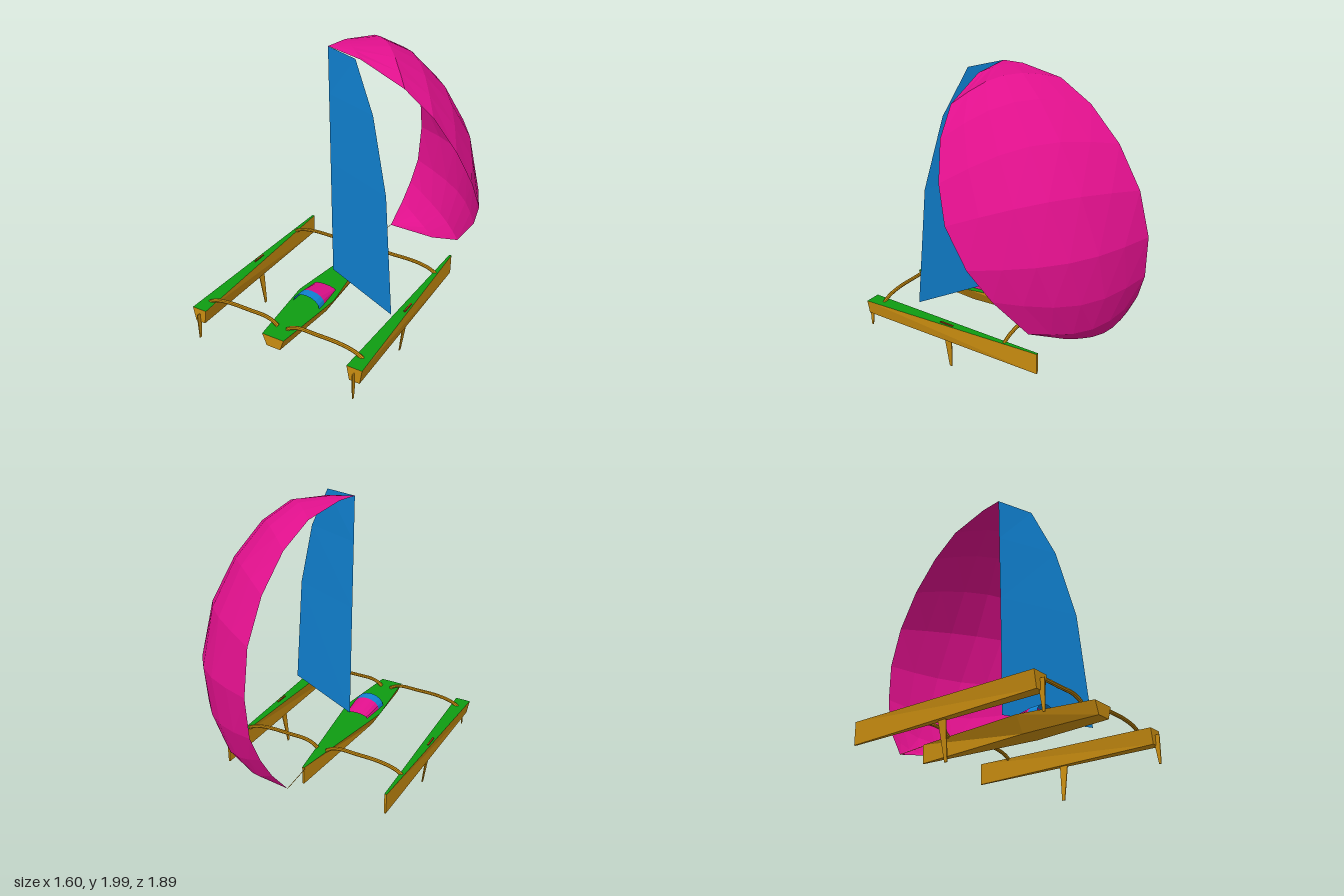
import * as THREE from 'three';

const mat = (name, color) => {
  const m = new THREE.MeshStandardMaterial({ color, flatShading: true, side: THREE.DoubleSide });
  m.name = name;
  return m;
};

// Surface through rows of points [x, y, z], two triangles per cell
function loft(rows, material, name) {
  const pos = [];
  for (let i = 0; i < rows.length - 1; i++) {
    for (let j = 0; j < rows[i].length - 1; j++) {
      const a = rows[i][j], b = rows[i][j + 1], c = rows[i + 1][j + 1], d = rows[i + 1][j];
      pos.push(...a, ...b, ...c, ...a, ...c, ...d);
    }
  }
  const g = new THREE.BufferGeometry();
  g.setAttribute('position', new THREE.Float32BufferAttribute(pos, 3));
  g.computeVertexNormals();
  const mesh = new THREE.Mesh(g, material);
  mesh.name = name;
  return mesh;
}

// Deck height at distance f ahead of the stern
const deckY = (f) => 0.335 + 0.026 * f;

// Hull from stations [f, deck half width, bottom half width, bottom height]
function hull(stations, sideMat, deckMat, name) {
  const group = new THREE.Group();
  group.name = name;
  const deck = stations.map(([f, w]) => [[-w, deckY(f), -f], [w, deckY(f), -f]]);
  const keel = stations.map(([f, , w, y]) => [[-w, y, -f], [w, y, -f]]);
  const last = stations.length - 1;
  group.add(
    loft(deck, deckMat, 'deck'),
    loft(deck.map((d, i) => [d[1], keel[i][1], keel[i][0], d[0]]), sideMat, 'hullSides'),
    loft([keel[0], deck[0]], sideMat, 'transom'),
    loft([deck[last], keel[last]], sideMat, 'stem'));
  return group;
}

// Tapered blade from y0 to y1; lean moves the tip sideways, rake moves it aft
function foil(y0, y1, tipChord, topChord, lean, rake, material, name) {
  const g = new THREE.BoxGeometry(0.006, y1 - y0, 1);
  const p = g.attributes.position;
  for (let i = 0; i < p.count; i++) {
    const top = p.getY(i) > 0;
    p.setXYZ(i, p.getX(i) + (top ? 0 : lean), top ? y1 : y0,
      p.getZ(i) * (top ? topChord : tipChord) + (top ? 0 : rake));
  }
  g.computeVertexNormals();
  const mesh = new THREE.Mesh(g, material);
  mesh.name = name;
  return mesh;
}

function tube(points, radius, segments, material, name) {
  const curve = new THREE.CatmullRomCurve3(points.map((p) => new THREE.Vector3(...p)));
  const mesh = new THREE.Mesh(new THREE.TubeGeometry(curve, segments, radius, 8), material);
  mesh.name = name;
  return mesh;
}

export function createModel() {
  const gold = mat('goldHull', 0xc88c10);
  const green = mat('greenDeck', 0x0f9c12);
  const blue = mat('blueSail', 0x1082d2);
  const pink = mat('pinkSail', 0xe0108c);
  const rust = mat('rustTrim', 0x8a3a10);

  const model = new THREE.Group();
  model.name = 'trimaran';

  // Boat platform: stern at the local origin, bow toward -z
  const boat = new THREE.Group();
  boat.name = 'platform';
  boat.position.set(-0.17, 0, 0.872);
  boat.rotation.y = -0.089;
  model.add(boat);

  boat.add(hull([[0, 0.08, 0.05, 0.255], [0.5, 0.135, 0.075, 0.245], [1.365, 0.007, 0.005, 0.245]],
    gold, green, 'mainHull'));

  for (const side of [-1, 1]) {
    // Outer floats
    const float = hull([[0, 0.053, 0.036, 0.235], [1.365, 0.008, 0.006, 0.226]], gold, green, 'float');
    float.position.x = side * 0.581;
    const board = foil(0, 0.356, 0.02, 0.078, -side * 0.045, 0.012, gold, 'daggerboard');
    board.position.set(side * 0.012, 0, -0.67);
    const slot = new THREE.Mesh(new THREE.BoxGeometry(0.012, 0.012, 0.1), rust);
    slot.name = 'boardSlot';
    slot.position.set(side * 0.012, deckY(0.67), -0.67);
    const rudder = foil(0.12, 0.3, 0.014, 0.045, 0, 0.012, gold, 'rudder');
    rudder.position.z = 0.004;
    float.add(board, slot, rudder);
    boat.add(float);

    // Arched cross beams
    for (const f of [0.107, 1.116]) {
      const y = deckY(f);
      const path = [[0.035, 0], [0.07, 0.025], [0.13, 0.042], [0.25, 0.043], [0.4, 0.042],
        [0.5, 0.028], [0.55, 0.01], [0.58, -0.01]];
      boat.add(tube(path.map(([s, h]) => [side * s, y + h, -f]), 0.0125, 32, gold, 'crossBeam'));
    }
  }

  // Arched cockpit canopy, open toward the stern
  const arch = (f, w, top) => {
    const row = [];
    for (let i = 0; i <= 8; i++) {
      const a = Math.PI * (1 - i / 8);
      row.push([w * Math.cos(a), deckY(f) + (top - deckY(f)) * Math.sin(a), -f]);
    }
    return row;
  };
  boat.add(loft([arch(0.376, 0.1, 0.417), arch(0.445, 0.097, 0.413)], blue, 'canopyBand'));
  boat.add(loft([arch(0.445, 0.097, 0.413), arch(0.607, 0.083, 0.373)], pink, 'canopy'));

  // Mainsail: straight luff, stepped leech
  model.add(loft([
    [[-0.105, 0.43, 0.163], [0.457, 0.443, 0.487]],
    [[-0.112, 1.235, 0.16], [0.39, 1.235, 0.445]],
    [[-0.117, 1.69, 0.157], [0.27, 1.69, 0.37]],
    [[-0.12, 1.988, 0.155], [0.115, 1.977, 0.275]],
  ], blue, 'mainsail'));

  // Spinnaker: matching points down both edges, bellied outward between them
  const head = [-0.12, 1.988, 0.155], tack = [-0.04, 0.345, -0.697];
  const luff = [head, [-0.083, 1.993, 0], [-0.015, 1.95, -0.295], [0.037, 1.83, -0.517],
    [0.075, 1.63, -0.72], [0.095, 1.375, -0.87], [0.09, 1.09, -0.94], [0.075, 0.82, -0.93],
    [0.04, 0.65, -0.88], [0.005, 0.505, -0.81], tack];
  const leech = [head, [0.115, 1.95, 0.2], [0.4, 1.82, 0.22], [0.57, 1.66, 0.19],
    [0.7, 1.44, 0.125], [0.78, 1.22, 0.04], [0.797, 0.98, -0.11], [0.735, 0.78, -0.24],
    [0.585, 0.53, -0.4], [0.35, 0.41, -0.55], tack];
  const centre = new THREE.Vector3(0.1, 1.0, -0.15);
  const rows = luff.map((p, i) => {
    const a = new THREE.Vector3(...p), b = new THREE.Vector3(...leech[i]);
    const out = a.clone().add(b).multiplyScalar(0.5).sub(centre).normalize();
    const depth = a.distanceTo(b) * (i === 1 ? 0.06 : 0.14);
    return Array.from({ length: 7 }, (_, j) => a.clone().lerp(b, j / 6)
      .addScaledVector(out, depth * Math.sin(Math.PI * j / 6)).toArray());
  });
  model.add(loft(rows, pink, 'spinnaker'));

  // Line from the bow to the spinnaker tack
  model.add(tube([[-0.06, 0.36, -0.485], tack], 0.002, 1, gold, 'tackLine'));

  return model;
}
